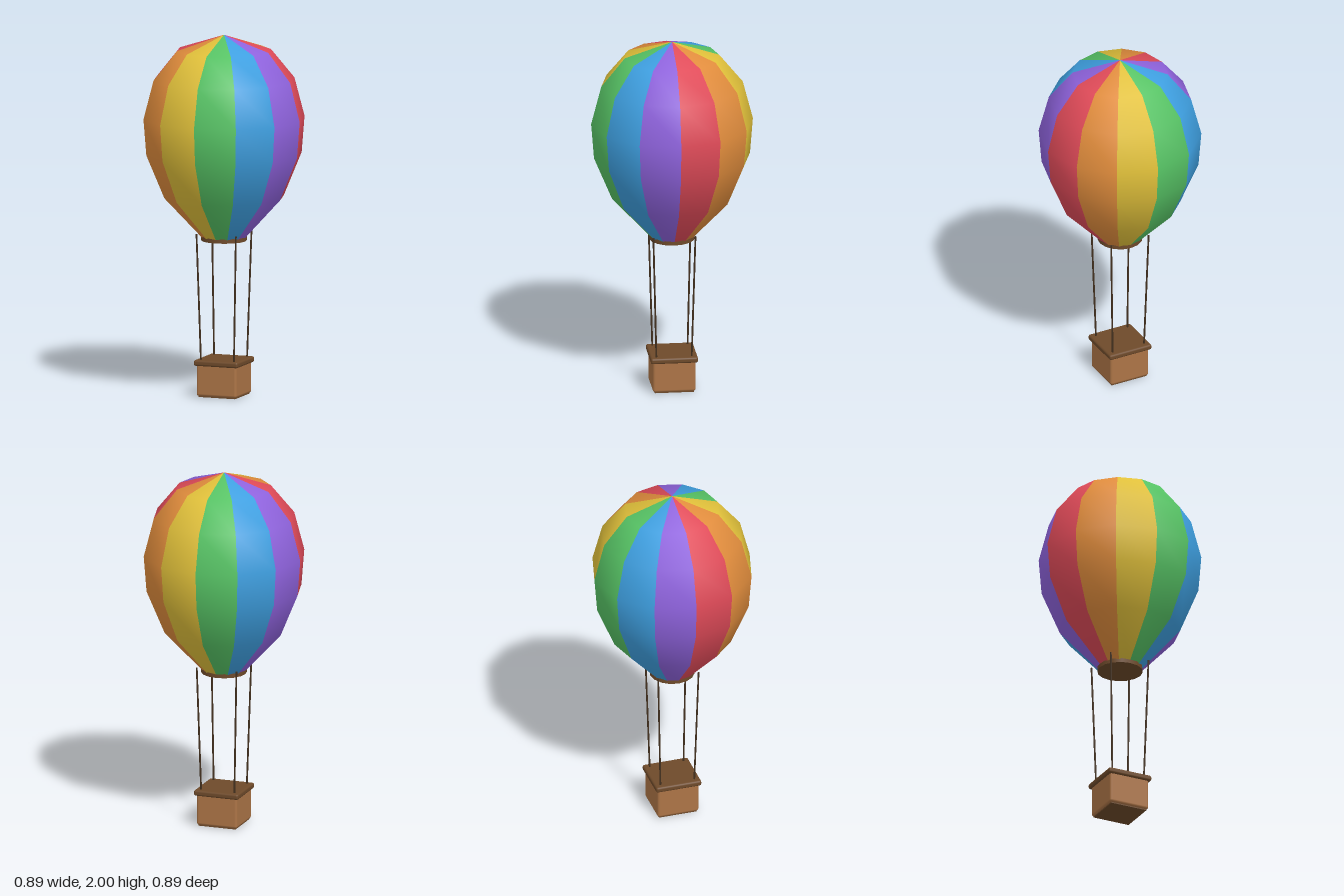
import * as THREE from 'three';
import { RoundedBoxGeometry } from 'three/addons/geometries/RoundedBoxGeometry.js';

const material = (name, color, extra = {}) => {
  const m = new THREE.MeshStandardMaterial({ color, ...extra });
  m.name = name;
  return m;
};

export function createModel() {
  const model = new THREE.Group();
  model.name = 'hotAirBalloon';

  const gores = [
    ['green', 0x56c264], ['blue', 0x3e9fe0], ['purple', 0x8e62dc],
    ['red', 0xdf4a58], ['orange', 0xe08c3c], ['yellow', 0xe0c03a],
  ].map(([name, color]) => material(name, color, { side: THREE.DoubleSide }));
  const wicker = material('wicker', 0xac7446);
  const trim = material('darkWood', 0x6e4a2a);
  const ropeMat = material('rope', 0x453220);

  const add = (name, geometry, mat, x = 0, y = 0, z = 0, parent = model) => {
    const mesh = new THREE.Mesh(geometry, mat);
    mesh.name = name;
    mesh.position.set(x, y, z);
    parent.add(mesh);
    return mesh;
  };

  // Envelope: twelve one-segment lathe gores, bottom to top
  const profile = [[0.12, 0.875], [0.33, 1.1], [0.43, 1.34], [0.446, 1.54], [0.39, 1.755], [0.26, 1.915], [0, 2]]
    .map(([r, y]) => new THREE.Vector2(r, y));
  const envelope = new THREE.Group();
  envelope.name = 'envelope';
  model.add(envelope);
  const step = Math.PI / 6;
  for (let i = 0; i < 12; i++) {
    add('gore' + (i + 1), new THREE.LatheGeometry(profile, 1, i * step, step), gores[i % 6], 0, 0, 0, envelope);
  }

  // Mouth ring closing the envelope
  add('mouthRing', new THREE.CylinderGeometry(0.125, 0.125, 0.026, 16), trim, 0, 0.873, 0);

  // Basket with bevelled edges and a wider rim
  add('basket', new RoundedBoxGeometry(0.236, 0.185, 0.236, 2, 0.014), wicker, 0, 0.098, 0);
  add('basketFloor', new THREE.BoxGeometry(0.215, 0.012, 0.215), trim, 0, 0.006, 0);
  add('basketRim', new RoundedBoxGeometry(0.26, 0.032, 0.26, 2, 0.011), trim, 0, 0.19, 0);

  // Four ropes leaning outwards from basket to mouth
  const up = new THREE.Vector3(0, 1, 0);
  for (const sx of [-1, 1]) for (const sz of [-1, 1]) {
    const a = new THREE.Vector3(sx * 0.097, 0.19, sz * 0.097);
    const b = new THREE.Vector3(sx * 0.116, 0.905, sz * 0.116);
    const dir = b.clone().sub(a);
    const mid = a.clone().add(b).multiplyScalar(0.5);
    const rope = add('rope', new THREE.CylinderGeometry(0.005, 0.005, dir.length(), 6), ropeMat, mid.x, mid.y, mid.z);
    rope.quaternion.setFromUnitVectors(up, dir.normalize());
  }
  return model;
}
